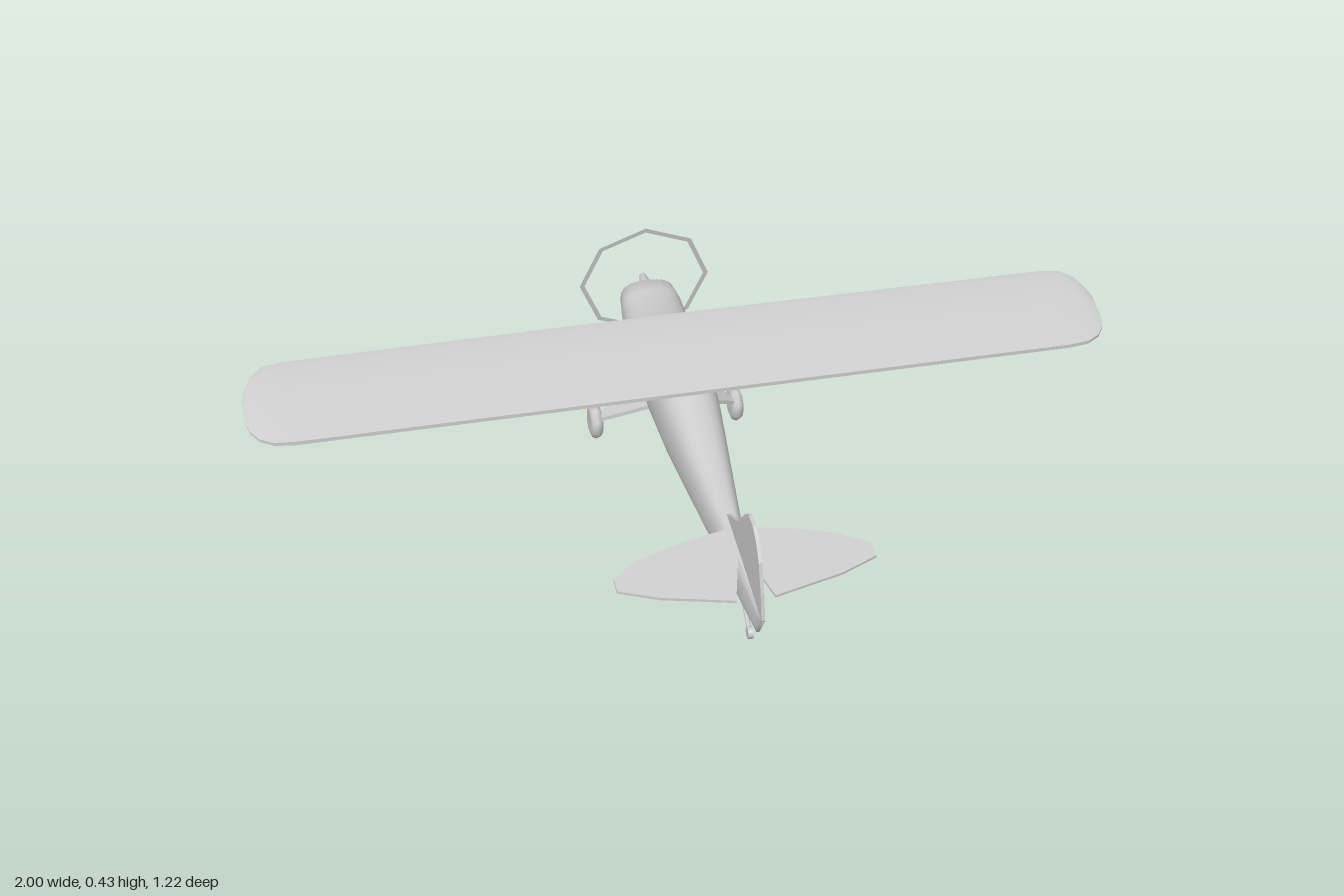
import * as THREE from 'three';
import { toCreasedNormals } from 'three/addons/utils/BufferGeometryUtils.js';

const material = new THREE.MeshStandardMaterial({ color: 0xcccccc, side: THREE.DoubleSide });

function part(name, geometry, parent) {
  const mesh = new THREE.Mesh(geometry, material);
  mesh.name = name;
  parent.add(mesh);
  return mesh;
}

// Skin equal-sized rings of Vector3 and close both ends
function loft(rings, crease) {
  const n = rings[0].length, pos = [], idx = [];
  rings.forEach(r => r.forEach(p => pos.push(p.x, p.y, p.z)));
  for (let i = 0; i < rings.length - 1; i++) {
    for (let j = 0; j < n; j++) {
      const a = i * n + j, b = i * n + (j + 1) % n;
      idx.push(a, b, b + n, a, b + n, a + n);
    }
  }
  [0, rings.length - 1].forEach((r, end) => {
    const c = pos.length / 3, mid = new THREE.Vector3();
    rings[r].forEach(p => mid.addScaledVector(p, 1 / n));
    pos.push(mid.x, mid.y, mid.z);
    for (let j = 0; j < n; j++) {
      const a = r * n + j, b = r * n + (j + 1) % n;
      if (end) idx.push(c, a, b); else idx.push(c, b, a);
    }
  });
  const g = new THREE.BufferGeometry();
  g.setAttribute('position', new THREE.Float32BufferAttribute(pos, 3));
  g.setIndex(idx);
  return toCreasedNormals(g, crease);
}

// Thin plate from an outline, centred on its thickness
function plate(points, depth) {
  const shape = new THREE.Shape(points.map(p => new THREE.Vector2(p[0], p[1])));
  return new THREE.ExtrudeGeometry(shape, { depth, bevelEnabled: false }).translate(0, 0, -depth / 2);
}

// Round bar between two points
function bar(a, b, r) {
  const path = new THREE.LineCurve3(new THREE.Vector3(...a), new THREE.Vector3(...b));
  return new THREE.TubeGeometry(path, 1, r, 6);
}

function fuselage() {
  // z, top, bottom, half width
  const stations = [
    [-0.555, 0.29, 0.213, 0.055], [-0.548, 0.297, 0.205, 0.066], [-0.50, 0.298, 0.19, 0.073],
    [-0.36, 0.29, 0.147, 0.077], [-0.28, 0.345, 0.122, 0.08], [-0.2, 0.33, 0.115, 0.079],
    [-0.05, 0.285, 0.1, 0.068], [0.08, 0.245, 0.096, 0.055], [0.24, 0.207, 0.09, 0.038],
    [0.34, 0.19, 0.083, 0.027], [0.45, 0.172, 0.073, 0.018], [0.57, 0.15, 0.077, 0.008],
    [0.61, 0.145, 0.13, 0.003]
  ];
  const sides = 24;
  return loft(stations.map(([z, top, bottom, w]) => {
    const ring = [];
    for (let j = 0; j < sides; j++) {
      const a = j / sides * Math.PI * 2, c = Math.cos(a), s = Math.sin(a);
      const soft = v => Math.sign(v) * Math.pow(Math.abs(v), 0.75);
      ring.push(new THREE.Vector3(soft(c) * w, (top + bottom) / 2 + soft(s) * (top - bottom) / 2, z));
    }
    return ring;
  }), 0.9);
}

function wing() {
  // x, leading edge z, trailing edge z, thickness scale
  const half = [
    [0, -0.286, -0.045, 1], [0.9, -0.281, -0.045, 1], [0.945, -0.275, -0.05, 0.9],
    [0.975, -0.25, -0.066, 0.75], [0.992, -0.215, -0.09, 0.5], [1, -0.19, -0.115, 0.25]
  ];
  // Chord position and height, over the top and back underneath
  const foil = [[0, -0.006], [0, 0.008], [0.08, 0.012], [0.4, 0.012], [0.75, 0.009],
    [1, 0.004], [1, -0.005], [0.6, -0.008], [0.1, -0.01]];
  const all = [...half.slice(1).reverse().map(([x, ...r]) => [-x, ...r]), ...half];
  return loft(all.map(([x, z0, z1, t]) => foil.map(([c, h]) => {
    const z = z0 + (z1 - z0) * c;
    return new THREE.Vector3(x, 0.291 - (z + 0.045) * 0.245 + h * t, z);
  })), 0.5);
}

export function createModel() {
  const model = new THREE.Group();
  model.name = 'aeroplane';
  part('fuselage', fuselage(), model);
  part('wing', wing(), model);

  // Upright fin and rudder, drawn in z and y
  const fin = [[0.3, 0.197], [0.397, 0.246], [0.462, 0.311], [0.49, 0.328], [0.528, 0.326],
    [0.557, 0.308], [0.583, 0.269], [0.603, 0.203], [0.613, 0.14], [0.57, 0.078], [0.45, 0.09]];
  part('fin', plate(fin, 0.008).rotateY(-Math.PI / 2), model);

  // Tailplane halves, drawn in x and z, then laid on a slope
  const tail = [[0, 0.34], [0.03, 0.344], [0.12, 0.363], [0.22, 0.396], [0.285, 0.438], [0.285, 0.477],
    [0.2, 0.512], [0.043, 0.55], [0.01, 0.43], [0, 0.43]];
  for (const side of [-1, 1]) {
    const g = plate(tail.map(([x, z]) => [x * side, z]), 0.006).rotateX(Math.PI / 2);
    const p = g.attributes.position;
    for (let i = 0; i < p.count; i++) p.setY(i, p.getY(i) + 0.15 + (0.55 - p.getZ(i)) * 0.165);
    g.computeVertexNormals();
    part(side > 0 ? 'leftTailplane' : 'rightTailplane', g, model);
  }

  // Main landing gear
  for (const side of [-1, 1]) {
    const gear = new THREE.Group();
    gear.name = side > 0 ? 'leftLandingGear' : 'rightLandingGear';
    model.add(gear);
    const section = (x, y0, z0, y1, z1) => {
      const t = 0.005, ring = [[y0 + t, z0], [y1 + t, z1], [y1 - t, z1], [y0 - t, z0]];
      const pts = ring.map(([y, z]) => new THREE.Vector3(x * side, y, z));
      return side > 0 ? pts : pts.reverse();
    };
    part('leg', loft([section(0.055, 0.145, -0.34, 0.128, -0.255),
      section(0.162, 0.066, -0.345, 0.066, -0.318)], 0.3), gear);
    part('axle', bar([0.155 * side, 0.063, -0.335], [0.172 * side, 0.045, -0.35], 0.006), gear);
    // Tyre with rounded shoulders
    const profile = [[0, -0.013], [0.028, -0.015], [0.039, -0.011], [0.044, 0],
      [0.039, 0.011], [0.028, 0.015], [0, 0.013]].map(p => new THREE.Vector2(...p));
    const wheel = part('wheel', new THREE.LatheGeometry(profile, 8), gear);
    wheel.rotation.set(Math.PI / 8, 0, Math.PI / 2);
    wheel.position.set(0.172 * side, 0.044, -0.35);
  }

  // Tail wheel
  part('tailStrut', bar([0, 0.08, 0.425], [0, 0.022, 0.5], 0.005), model);
  const tailWheel = part('tailWheel', new THREE.CylinderGeometry(0.014, 0.014, 0.012, 8), model);
  tailWheel.rotation.z = Math.PI / 2;
  tailWheel.position.set(0, 0.022, 0.5);

  // Spinner and octagonal propeller ring, tilted together
  const propeller = new THREE.Group();
  propeller.name = 'propeller';
  propeller.position.set(0, 0.278, -0.583);
  propeller.rotation.x = 0.172;
  model.add(propeller);
  part('ring', new THREE.RingGeometry(0.147, 0.159, 8, 1), propeller);
  const spinner = part('spinner', new THREE.CylinderGeometry(0.007, 0.019, 0.052, 8), propeller);
  spinner.rotation.x = -Math.PI / 2;
  spinner.position.z = 0.008;
  return model;
}
